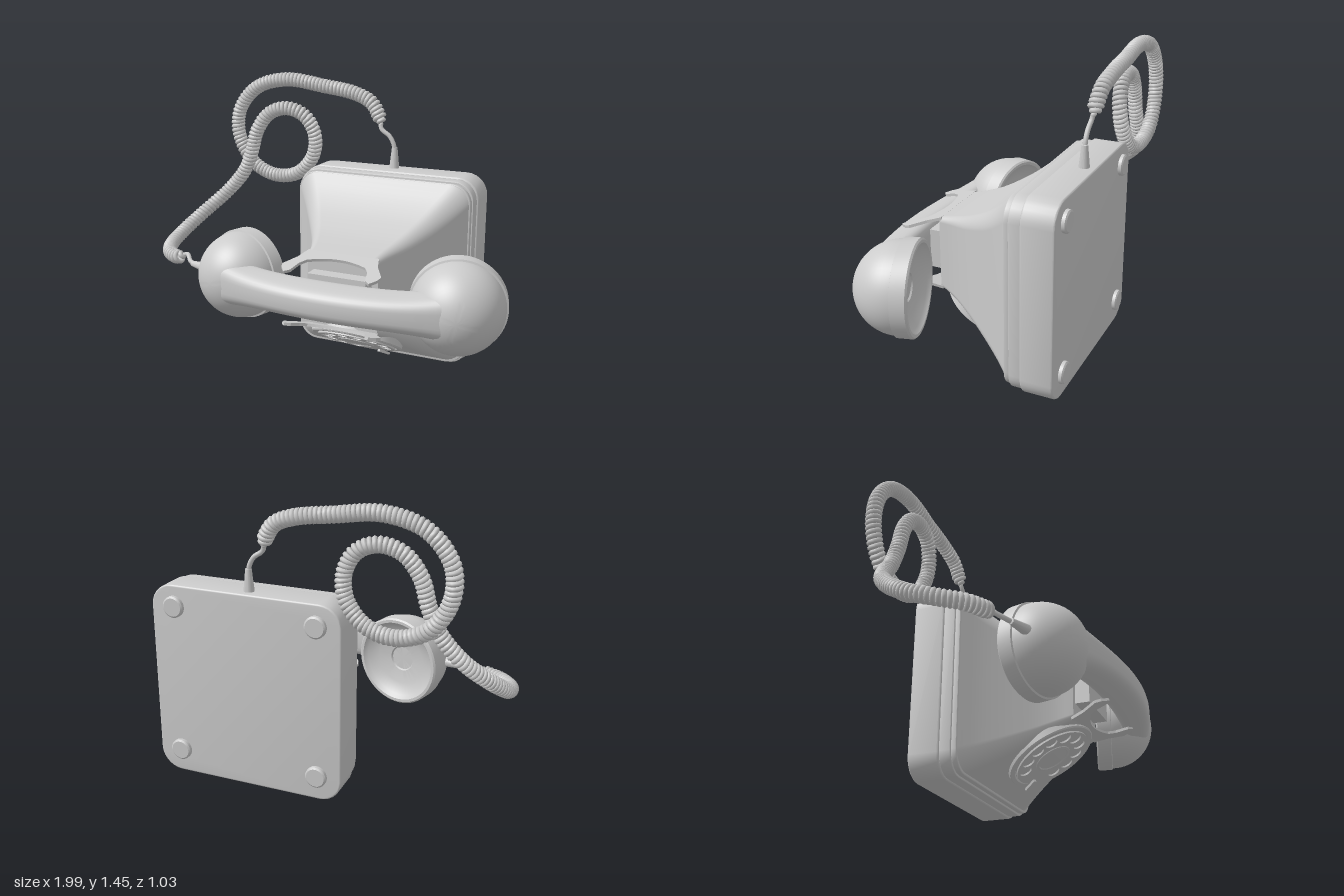
import * as THREE from 'three';
import { toCreasedNormals } from 'three/addons/utils/BufferGeometryUtils.js';

const CX = 0.215; // centre line of the telephone
const V = (x, y, z) => new THREE.Vector3(x, y, z);
const grey = new THREE.MeshStandardMaterial({ color: 0xcccccc });
const greyThin = new THREE.MeshStandardMaterial({ color: 0xcccccc, side: THREE.DoubleSide });

function add(parent, name, geometry, material = grey) {
  const mesh = new THREE.Mesh(geometry, material);
  mesh.name = name;
  parent.add(mesh);
  return mesh;
}

// Counter-clockwise outline of a rounded rectangle
function roundedLoop(cx, cy, hw, hh, r, n = 7) {
  const pts = [];
  [[1, 1], [-1, 1], [-1, -1], [1, -1]].forEach(([sx, sy], q) => {
    for (let i = 0; i <= n; i++) {
      const a = (q + i / n) * Math.PI / 2;
      pts.push(new THREE.Vector2(cx + sx * (hw - r) + r * Math.cos(a), cy + sy * (hh - r) + r * Math.sin(a)));
    }
  });
  return pts;
}

// Smooth skin over a list of closed loops with equal point counts
function loft(loops) {
  const n = loops[0].length, index = [];
  for (let j = 0; j < loops.length - 1; j++)
    for (let i = 0; i < n; i++) {
      const a = j * n + i, b = j * n + (i + 1) % n;
      index.push(a, b, a + n, b, b + n, a + n);
    }
  const g = new THREE.BufferGeometry().setFromPoints(loops.flat());
  g.setIndex(index);
  g.computeVertexNormals();
  return g;
}

// Rounded slab between two depths
function slab(z0, z1, hw, hh, r, bevel) {
  const shape = new THREE.Shape(roundedLoop(CX, 0.49, hw - bevel, hh - bevel, r - bevel));
  const g = new THREE.ExtrudeGeometry(shape, {
    depth: z1 - z0 - 2 * bevel, bevelSize: bevel, bevelThickness: bevel, bevelSegments: 3,
  });
  return toCreasedNormals(g.translate(0, 0, z0 + bevel), 0.6);
}

function lathe(points, segments = 48) {
  return toCreasedNormals(new THREE.LatheGeometry(points.map(([r, y]) => new THREE.Vector2(r, y)), segments), 0.6);
}

function makeBase(root) {
  add(root, 'basePlate', slab(-0.49, -0.33, 0.487, 0.49, 0.11, 0.008));
  add(root, 'baseBand', slab(-0.332, -0.272, 0.479, 0.481, 0.105, 0.004));
  add(root, 'baseLip', slab(-0.274, -0.245, 0.472, 0.47, 0.1, 0.004));
  for (const x of [-0.365, 0.365]) for (const y of [0.123, 0.875]) {
    const foot = add(root, 'foot', lathe([[0, 0], [0.045, 0], [0.053, 0.006], [0.053, 0.03]], 28));
    foot.rotation.x = Math.PI / 2;
    foot.position.set(CX + x, y, -0.512);
  }
}

function makeBody(root) {
  // Each station: half width, lower edge, upper edge, evenly spaced in depth
  const stations = new THREE.CatmullRomCurve3([
    V(0.468, 0.03, 0.962), V(0.4, 0.076, 0.88), V(0.342, 0.122, 0.815), V(0.29, 0.168, 0.765),
    V(0.243, 0.214, 0.725), V(0.207, 0.26, 0.7), V(0.183, 0.3, 0.68),
  ], false, 'catmullrom');
  const loops = [];
  for (let j = 0; j <= 24; j++) {
    const t = j / 24, s = stations.getPoint(t), z = -0.25 + 0.48 * t;
    loops.push(roundedLoop(CX, (s.y + s.z) / 2, s.x, (s.z - s.y) / 2, 0.1 - 0.075 * t).map(p => V(p.x, p.y, z)));
  }
  add(root, 'body', loft(loops));
  const top = new THREE.Shape(loops[24].map(p => new THREE.Vector2(p.x, p.y)));
  add(root, 'bodyTop', new THREE.ShapeGeometry(top)).position.z = 0.23;
}

function makeCradle(root) {
  const half = [[0.183, -0.01], [0.205, 0.06], [0.252, 0.135], [0.243, 0.165], [0.215, 0.198], [0.19, 0.178], [0.175, 0.115], [0.15, 0.08]];
  const s = new THREE.Shape();
  s.moveTo(-0.183, -0.01);
  half.forEach(([x, y]) => s.lineTo(x, y));
  s.quadraticCurveTo(0, 0.01, -0.15, 0.08);
  half.slice(0, -1).reverse().forEach(([x, y]) => s.lineTo(-x, y));
  for (const side of [1, -1]) {
    const holder = new THREE.Group();
    holder.name = 'cradleSide';
    holder.position.set(CX, 0.49, 0.23);
    holder.scale.y = side;
    const plate = add(holder, 'cradleHorns', new THREE.ExtrudeGeometry(s, { depth: 0.014, bevelEnabled: false, curveSegments: 16 }), greyThin);
    plate.position.y = 0.19;
    plate.rotation.x = Math.PI / 2 + 0.28;
    root.add(holder);
  }
  add(root, 'hookRest', new THREE.BoxGeometry(0.3, 0.2, 0.075)).position.set(CX, 0.49, 0.265);
}

function makeDial(root) {
  const dial = new THREE.Group();
  dial.name = 'dial';
  dial.position.set(CX, 0.192, 0.05);
  dial.rotation.x = Math.PI - 0.527;
  root.add(dial);
  add(dial, 'dialBezel', lathe([[0.232, -0.05], [0.232, 0.006], [0.226, 0.012], [0.208, 0.012], [0.2, 0.003], [0, 0.003]]));
  // Finger wheel with ten holes
  const wheel = new THREE.Shape().absarc(0, 0, 0.198, 0, Math.PI * 2);
  for (let i = 0; i < 10; i++) {
    const a = -0.35 + i * Math.PI / 6;
    wheel.holes.push(new THREE.Path().absarc(0.15 * Math.cos(a), 0.15 * Math.sin(a), 0.031, 0, Math.PI * 2, true));
  }
  const g = new THREE.ExtrudeGeometry(wheel, { depth: 0.009, bevelEnabled: false, curveSegments: 24 });
  add(dial, 'fingerWheel', toCreasedNormals(g.rotateX(-Math.PI / 2), 0.6)).position.y = 0.009;
  add(dial, 'dialCentre', lathe([[0.095, 0.015], [0.093, 0.022], [0.08, 0.024], [0.076, 0.02], [0, 0.022]]));
  const stop = add(dial, 'fingerStop', new THREE.BoxGeometry(0.016, 0.012, 0.075));
  stop.position.set(0.09, 0.024, 0.18);
  stop.rotation.y = 0.45;
}

function makeHandset(root) {
  const set = new THREE.Group();
  set.name = 'handset';
  set.position.set(CX, 0.5, 0);
  root.add(set);
  // Bowed handle with a D-shaped section
  const loops = [];
  for (let j = 0; j <= 32; j++) {
    const x = -0.57 + 1.14 * j / 32, loop = [];
    const front = 0.512 - 0.27 * x * x, back = 0.335 - 0.17 * x * x;
    const flare = 1 + 0.35 * (x / 0.57) ** 4;
    for (let i = 0; i < 32; i++) {
      const a = i / 32 * Math.PI * 2, c = Math.cos(a), s = Math.sin(a);
      const v = Math.sign(s) * Math.abs(s) ** 0.7;
      const w = 0.095 * Math.sign(c) * Math.abs(c) ** 0.6 * (1 - 0.17 * (v + 0.6)) * flare;
      loop.push(V(x, w, (front + back) / 2 + v * (front - back) / 2));
    }
    loops.push(loop);
  }
  add(set, 'handle', loft(loops));
  // Ear and mouth cups: dished face, rim ring, dome
  const profile = [[0, 0.06], [0.06, 0.06], [0.065, 0.052], [0.13, 0.042], [0.19, 0.02], [0.206, 0], [0.22, 0], [0.228, 0.008], [0.228, 0.078], [0.219, 0.081]];
  for (let i = 1; i <= 16; i++) {
    const a = i / 16 * Math.PI / 2;
    profile.push([i === 16 ? 0 : 0.219 * Math.cos(a), 0.081 + 0.222 * Math.sin(a)]);
  }
  for (const side of [-1, 1]) {
    const cup = add(set, side < 0 ? 'mouthCup' : 'earCup', lathe(profile, 56));
    cup.position.set(side * 0.545, 0, 0.13);
    cup.quaternion.setFromUnitVectors(V(0, 1, 0), V(side * 0.263, 0, 0.965).normalize());
  }
}

// Curve that winds around a path, straight at both ends
class CoilCurve extends THREE.Curve {
  constructor(path, turns, radius, from, to) {
    super();
    Object.assign(this, { path, turns, radius, from, to, steps: 600 });
    path.arcLengthDivisions = 1000;
    this.frames = path.computeFrenetFrames(this.steps, false);
  }
  getUtoTmapping(u) { return u; }
  getPoint(t) {
    const f = t * this.steps, i = Math.min(Math.floor(f), this.steps - 1), k = f - i;
    const mix = list => list[i].clone().lerp(list[i + 1], k).normalize();
    const r = this.radius * THREE.MathUtils.smoothstep(t, this.from, this.from + 0.012)
      * (1 - THREE.MathUtils.smoothstep(t, this.to - 0.012, this.to));
    const a = t * this.turns * Math.PI * 2;
    return this.path.getPointAt(t)
      .addScaledVector(mix(this.frames.normals), r * Math.cos(a))
      .addScaledVector(mix(this.frames.binormals), r * Math.sin(a));
  }
}

function makeCord(root) {
  const path = new THREE.CatmullRomCurve3([
    V(0.21, 1.04, -0.43), V(0.205, 1.1, -0.43), V(0.18, 1.145, -0.43), V(0.135, 1.18, -0.43), V(0.12, 1.23, -0.44),
    V(0.07, 1.31, -0.45), V(-0.03, 1.355, -0.46), V(-0.22, 1.385, -0.465), V(-0.45, 1.41, -0.465), V(-0.64, 1.355, -0.465),
    V(-0.75, 1.22, -0.465), V(-0.755, 1.07, -0.47), V(-0.67, 0.93, -0.475), V(-0.53, 0.87, -0.47), V(-0.38, 0.895, -0.46),
    V(-0.28, 1.0, -0.45), V(-0.26, 1.12, -0.435), V(-0.31, 1.22, -0.42), V(-0.41, 1.26, -0.41), V(-0.52, 1.23, -0.405),
    V(-0.6, 1.13, -0.4), V(-0.64, 1.0, -0.4), V(-0.69, 0.89, -0.4), V(-0.79, 0.77, -0.38), V(-0.89, 0.66, -0.29),
    V(-0.95, 0.57, -0.16), V(-0.945, 0.525, -0.03), V(-0.88, 0.51, 0.08), V(-0.79, 0.51, 0.13), V(-0.74, 0.53, 0.125),
    V(-0.69, 0.51, 0.17), V(-0.62, 0.505, 0.2),
  ]);
  const coil = new CoilCurve(path, 178, 0.028, 0.048, 0.96);
  add(root, 'coiledCord', new THREE.TubeGeometry(coil, 2700, 0.012, 7, false));
  // Tapered sleeves where the cord enters the base and the handset
  const sleeve = [[0, 0], [0.028, 0], [0.026, 0.02], [0.015, 0.125], [0, 0.128]];
  add(root, 'baseCordSleeve', lathe(sleeve, 20)).position.set(0.21, 0.962, -0.43);
  const s = add(root, 'handsetCordSleeve', lathe(sleeve, 20));
  s.position.set(-0.545, 0.505, 0.222);
  s.quaternion.setFromUnitVectors(V(0, 1, 0), V(-0.96, 0, -0.28).normalize());
}

export function createModel() {
  const root = new THREE.Group();
  root.name = 'telephone';
  [makeBase, makeBody, makeCradle, makeDial, makeHandset, makeCord].forEach(make => make(root));
  return root;
}
